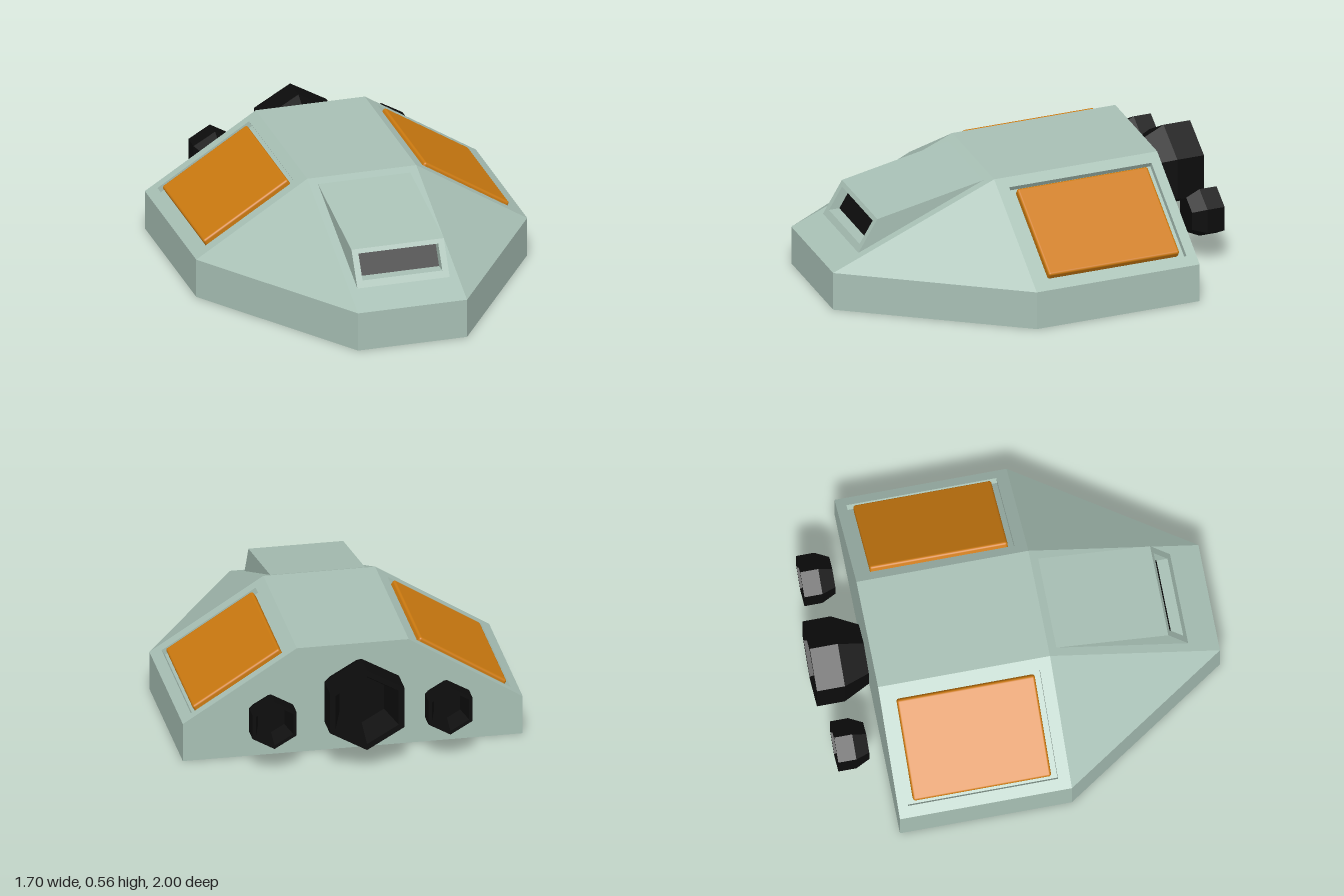
import * as THREE from 'three';
import { RoundedBoxGeometry } from 'three/addons/geometries/RoundedBoxGeometry.js';

const paint = (color) => new THREE.MeshStandardMaterial({ color, flatShading: true });
const hullPaint = paint(0xa8c0b5);
const orange = new THREE.MeshStandardMaterial({ color: 0xcc7a10 });
const black = paint(0x0c0c0c);

// Flat-faced mesh from convex polygons, corners counter-clockwise from outside
function polyMesh(name, polygons, material) {
  const positions = [];
  for (const p of polygons)
    for (let i = 1; i < p.length - 1; i++) positions.push(...p[0], ...p[i], ...p[i + 1]);
  const geometry = new THREE.BufferGeometry();
  geometry.setAttribute('position', new THREE.Float32BufferAttribute(positions, 3));
  geometry.computeVertexNormals();
  const mesh = new THREE.Mesh(geometry, material);
  mesh.name = name;
  return mesh;
}

const mirror = (polygon) => polygon.map(([x, y, z]) => [-x, y, z]).reverse();

// Face with a recess: a frame, the recess walls and the recess floor
function recessedFace(outer, inner, depth) {
  const floor = inner.map((p) => p.map((v, k) => v + depth[k]));
  const faces = [];
  for (let i = 0; i < 4; i++) {
    const j = (i + 1) % 4;
    faces.push([outer[i], outer[j], inner[j], inner[i]]);
    faces.push([inner[i], inner[j], floor[j], floor[i]]);
  }
  return { faces, floor };
}

// Main dimensions
const W = 0.85, T = 0.28, H = 0.56, S = 0.2, NOSE = 1, MID = 0.15, BACK = -0.71;
const slopeY = (x) => S + ((W - x) / (W - T)) * (H - S);

function hull() {
  const slopeQuad = (x0, x1, z0, z1) => [
    [x0, slopeY(x0), z0], [x0, slopeY(x0), z1], [x1, slopeY(x1), z1], [x1, slopeY(x1), z0],
  ];
  const bay = recessedFace(
    slopeQuad(W, T, MID, BACK), slopeQuad(0.8, 0.33, 0.09, -0.66), [-0.016, -0.026, 0]);
  const side = [
    ...bay.faces, bay.floor,
    [[T, S, NOSE], [W, S, MID], [T, H, MID]],
    [[T, 0, NOSE], [W, 0, MID], [W, S, MID], [T, S, NOSE]],
    [[W, 0, MID], [W, 0, BACK], [W, S, BACK], [W, S, MID]],
  ];
  const middle = [
    [[-T, 0, NOSE], [T, 0, NOSE], [T, S, NOSE], [-T, S, NOSE]],
    [[-T, S, NOSE], [T, S, NOSE], [T, H, MID], [-T, H, MID]],
    [[-T, H, MID], [T, H, MID], [T, H, BACK], [-T, H, BACK]],
    [[W, 0, BACK], [-W, 0, BACK], [-W, S, BACK], [-T, H, BACK], [T, H, BACK], [W, S, BACK]],
    [[-T, 0, NOSE], [-W, 0, MID], [-W, 0, BACK], [W, 0, BACK], [W, 0, MID], [T, 0, NOSE]],
  ];
  return polyMesh('hull', [...middle, ...side, ...side.map(mirror)], hullPaint);
}

// Wedge cockpit with a window set into its front
function cockpit() {
  const group = new THREE.Group();
  group.name = 'cockpit';
  const c = 0.237;
  const row = (x, y, z) => [[-x, y, z], [x, y, z]];
  const quad = (x, [y0, z0], [y1, z1]) => [...row(x, y0, z0), ...row(x, y1, z1).reverse()];
  const foot = [0.263, 0.85], brow = [0.43, 0.75], tail = [0.543, 0.19];
  const front = recessedFace(
    quad(c, foot, brow), quad(0.205, [0.295, 0.831], [0.41, 0.762]), [0, 0, -0.055]);
  const cheek = [[c, ...foot], [c, ...tail], [c, ...brow]];
  group.add(
    polyMesh('cockpitShell', [...front.faces, quad(c, brow, tail), cheek, mirror(cheek)], hullPaint),
    polyMesh('window', [front.floor], black));
  return group;
}

// Raised panel lying in the recess of one sloping side
function sidePanel(side) {
  const angle = Math.atan2(H - S, W - T);
  const mesh = new THREE.Mesh(new RoundedBoxGeometry(0.515, 0.045, 0.69, 3, 0.012), orange);
  const x = 0.565, sink = -0.0105;
  mesh.position.set(
    side * (x + sink * Math.sin(angle)), slopeY(x) + sink * Math.cos(angle), -0.285);
  mesh.rotation.z = -side * angle;
  mesh.name = side > 0 ? 'leftPanel' : 'rightPanel';
  return mesh;
}

// Six-sided hollow nozzle opening to the back
function engine(name, x, y, z, radius, throat, flare, length) {
  const profile = [
    [0, 0], [throat, 0], [radius, flare], [radius, length],
    [radius * 0.85, length], [radius * 0.6, flare], [0, flare],
  ].map(([r, h]) => new THREE.Vector2(r, h));
  const mesh = new THREE.Mesh(new THREE.LatheGeometry(profile, 6).rotateX(-Math.PI / 2), black);
  mesh.position.set(x, y, z);
  mesh.name = name;
  return mesh;
}

export function createModel() {
  const model = new THREE.Group();
  model.name = 'spaceship';
  model.add(hull(), cockpit());
  for (const side of [1, -1]) {
    model.add(sidePanel(side));
    model.add(engine(side > 0 ? 'leftEngine' : 'rightEngine',
      side * 0.44, 0.27, -0.8, 0.127, 0.093, 0.07, 0.16));
  }
  model.add(engine('mainEngine', -0.015, 0.33, -0.73, 0.215, 0.15, 0.13, 0.27));
  return model;
}
